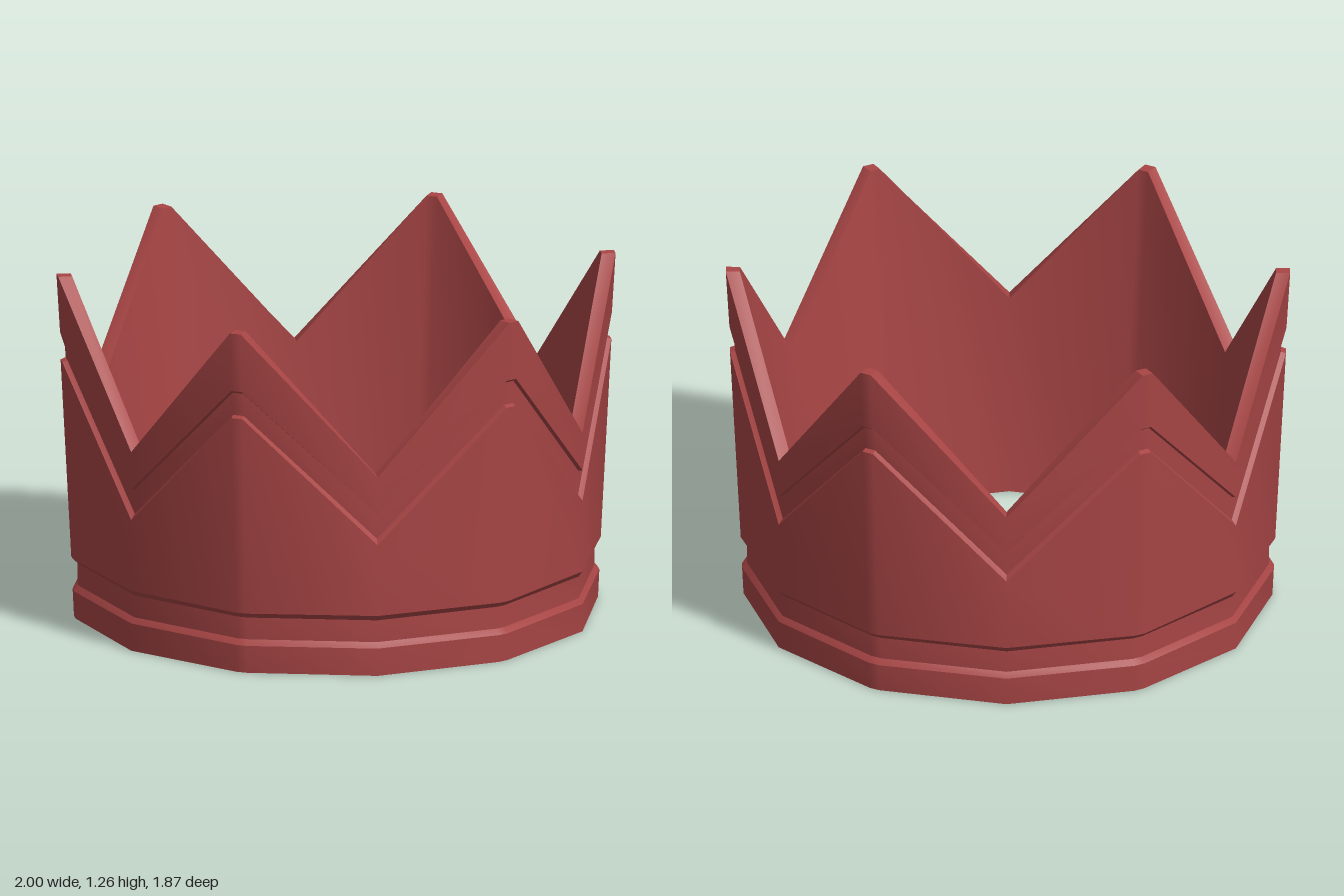
import * as THREE from 'three';
import { toCreasedNormals } from 'three/addons/utils/BufferGeometryUtils.js';

// Matching [radius, height] cross-sections at a valley and at a peak,
// running up the outside, over the rim and down the inside.
const VALLEY = [
  [0.935, 0], [0.935, 0.1], [0.92, 0.12], [0.92, 0.2], [0.935, 0.22],
  [0.935, 0.48], [0.918, 0.5], [0.918, 0.59], [0.935, 0.592],
  [0.935, 0.73], [0.885, 0.73], [0.83, 0], [0.935, 0],
];
const PEAK = [
  [0.937, 0], [0.942, 0.1], [0.925, 0.12], [0.925, 0.2], [0.947, 0.22],
  [0.985, 0.945], [0.967, 0.952], [0.972, 1.035], [0.987, 1.045],
  [1, 1.26], [0.95, 1.26], [0.83, 0], [0.937, 0],
];
const POINTS = 6;
const CHAMFER = THREE.MathUtils.degToRad(1.2); // half-width of each blunted peak

// Columns around the ring: two close together at each peak, one at each valley
const columns = [];
for (let i = 0; i < POINTS; i++) {
  const a = (i / POINTS) * Math.PI * 2;
  columns.push({ a: a - CHAMFER, profile: PEAK });
  columns.push({ a: a + CHAMFER, profile: PEAK });
  columns.push({ a: a + Math.PI / POINTS, profile: VALLEY });
}

// Skin the ring between two stations of the cross-section
function ringSection(from, to) {
  const positions = [];
  const index = [];
  const rows = to - from + 1;
  for (const { a, profile } of columns) {
    for (let j = from; j <= to; j++) {
      const [r, y] = profile[j];
      positions.push(r * Math.cos(a), y, r * Math.sin(a));
    }
  }
  columns.forEach((_, i) => {
    const next = (i + 1) % columns.length;
    for (let j = 0; j < rows - 1; j++) {
      const p = i * rows + j;
      const q = next * rows + j;
      index.push(p, p + 1, q + 1, p, q + 1, q);
    }
  });
  const geometry = new THREE.BufferGeometry();
  geometry.setAttribute('position', new THREE.Float32BufferAttribute(positions, 3));
  geometry.setIndex(index);
  return toCreasedNormals(geometry, THREE.MathUtils.degToRad(35));
}

export function createModel() {
  const crown = new THREE.Group();
  crown.name = 'crown';
  const material = new THREE.MeshStandardMaterial({ color: 0xa84545 });

  const parts = [
    ['baseBand', 0, 4],       // lower trim with its recessed channel
    ['outerWall', 4, 5],      // flaring wall up to the zigzag groove
    ['zigzagGroove', 5, 8],   // groove following the points
    ['pointedRim', 8, 10],    // raised border and top edge
    ['innerWall', 10, 11],    // tapering lining
    ['bottomEdge', 11, 12],   // flat ring it stands on
  ];
  for (const [name, from, to] of parts) {
    const mesh = new THREE.Mesh(ringSection(from, to), material);
    mesh.name = name;
    crown.add(mesh);
  }
  return crown;
}
